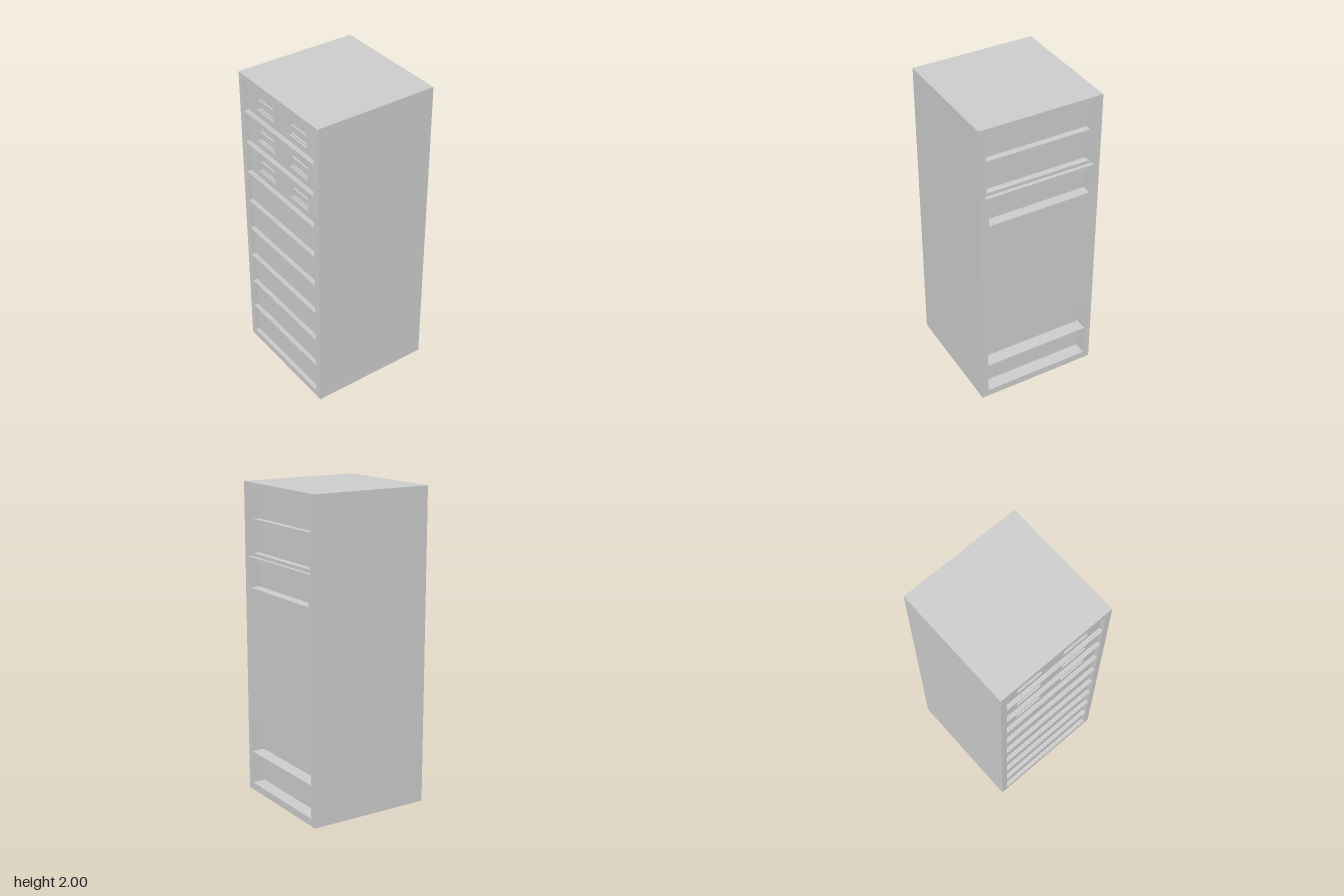
import * as THREE from 'three';

const material = new THREE.MeshStandardMaterial({ color: 0xcccccc, flatShading: true });
const W = 0.8, H = 2;

// Full-size plate from z0 to z1 with rectangular holes [x0, x1, y0, y1]
function plate(name, z0, z1, holes) {
  const shape = new THREE.Shape([
    new THREE.Vector2(-W / 2, 0), new THREE.Vector2(W / 2, 0),
    new THREE.Vector2(W / 2, H), new THREE.Vector2(-W / 2, H),
  ]);
  for (const [x0, x1, y0, y1] of holes) {
    shape.holes.push(new THREE.Path([
      new THREE.Vector2(x0, y0), new THREE.Vector2(x0, y1),
      new THREE.Vector2(x1, y1), new THREE.Vector2(x1, y0),
    ]));
  }
  const geometry = new THREE.ExtrudeGeometry(shape, { depth: z1 - z0, bevelEnabled: false });
  const mesh = new THREE.Mesh(geometry, material);
  mesh.name = name;
  mesh.position.z = z0;
  return mesh;
}

export function createModel() {
  const cabinet = new THREE.Group();
  cabinet.name = 'cabinet';

  // Nine equal bays, numbered from the bottom
  const base = 0.045, pitch = 0.2135, bays = 9;
  const bay = (i, inset) => [
    -0.36 + inset, 0.36 - inset,
    base + i * pitch + inset, base + (i + 1) * pitch - inset,
  ];
  const openings = [], drawerEdges = [];
  for (let i = 0; i < bays; i++) {
    openings.push(bay(i, 0.003));
    drawerEdges.push(bay(i, 0.007));
  }

  // Handle recesses in the top three bays, each with two small windows
  const recesses = [], windows = [];
  for (let i = 6; i < bays; i++) {
    const y = base + i * pitch + 0.11;
    for (const x of [-0.17, 0.17]) {
      recesses.push([x - 0.09, x + 0.09, y - 0.06, y + 0.06]);
      for (const side of [-1, 1]) {
        const cy = y + side * 0.0285;
        windows.push([x - 0.08, x + 0.08, cy - 0.0225, cy + 0.0225]);
      }
    }
  }

  // Rear openings: a shared recess over the top two bays, one pocket, two deep low bays
  const sharedRecess = [-0.36, 0.36, base + 7 * pitch, base + 9 * pitch - 0.003];
  const pockets = [6, 7, 8].map((i) => bay(i, 0.02));
  const lowBays = [0, 1].map((i) => bay(i, 0.003));

  cabinet.add(
    plate('frontFrame', 0.388, 0.4, openings),
    plate('drawerSurround', 0.375, 0.388, drawerEdges),
    plate('drawerFronts', 0.365, 0.375, recesses),
    plate('handleWindows', 0.355, 0.365, windows),
    plate('core', -0.315, 0.355, []),
    plate('rearDeepLayer', -0.335, -0.315, lowBays),
    plate('rearPocketLayer', -0.375, -0.335, [...pockets, ...lowBays]),
    plate('rearFrame', -0.4, -0.375, [sharedRecess, pockets[0], ...lowBays]),
  );
  return cabinet;
}
